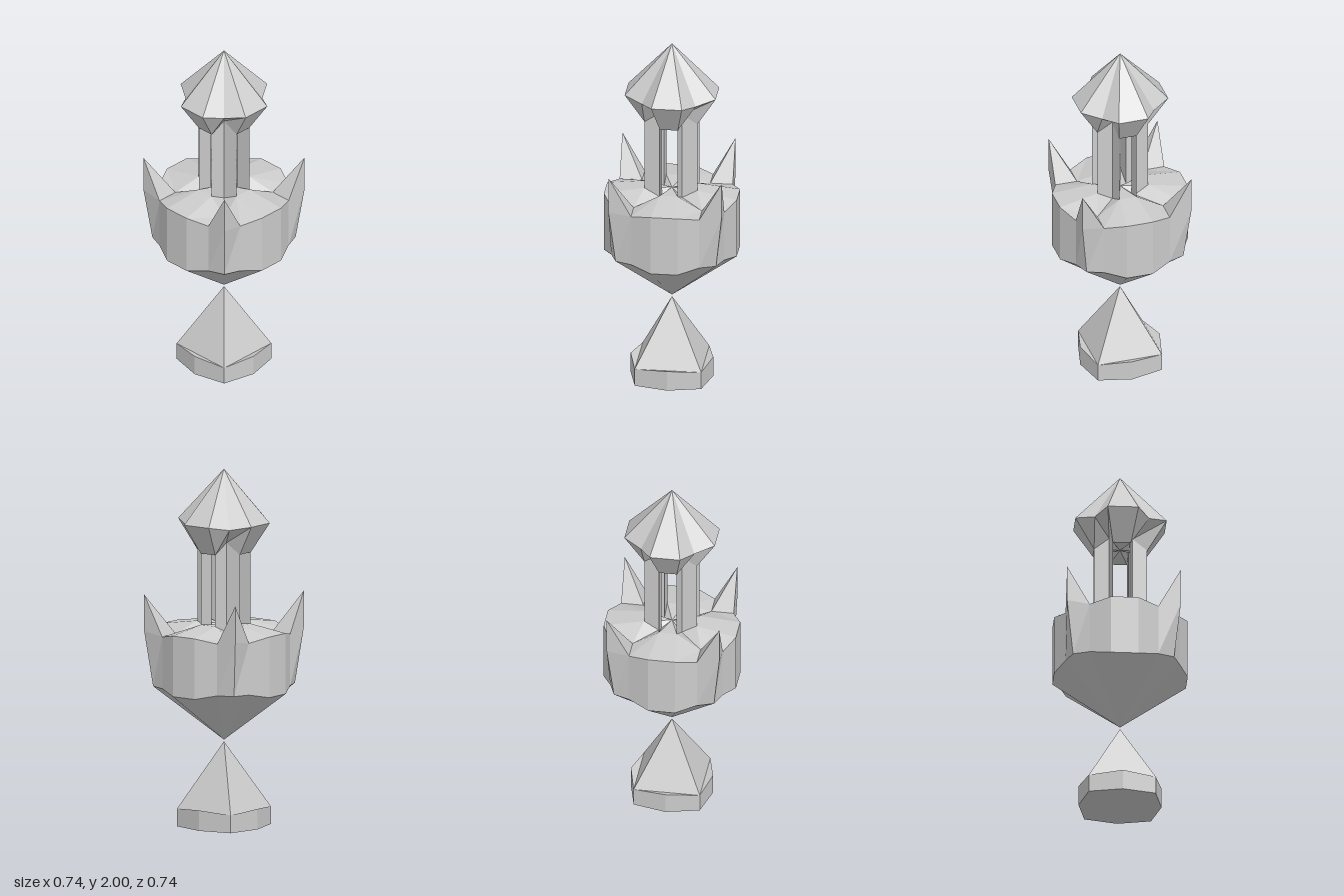
import * as THREE from 'three';

const material = new THREE.MeshStandardMaterial({ color: 0xcccccc, flatShading: true, side: THREE.DoubleSide });

// Repeats the [x, y, z] points of one quadrant four times around the y axis
function ring(points) {
  const out = [];
  for (let q = 0; q < 4; q++) {
    for (const [x, y, z] of points) {
      const [rx, rz] = [[x, z], [z, -x], [-x, -z], [-z, x]][q];
      out.push(new THREE.Vector3(rx, y, rz));
    }
  }
  return out;
}

// Skins a stack of rings from bottom to top, skipping collapsed triangles
function loft(name, quadrants) {
  const rings = quadrants.map(ring);
  const positions = [];
  const tri = (a, b, c) => {
    if (new THREE.Triangle(a, b, c).getArea() > 1e-7) {
      for (const p of [a, b, c]) positions.push(p.x, p.y, p.z);
    }
  };
  for (let r = 0; r < rings.length - 1; r++) {
    const lo = rings[r], hi = rings[r + 1], n = lo.length;
    for (let i = 0; i < n; i++) {
      const j = (i + 1) % n;
      tri(lo[i], lo[j], hi[j]);
      tri(lo[i], hi[j], hi[i]);
    }
  }
  const geometry = new THREE.BufferGeometry();
  geometry.setAttribute('position', new THREE.Float32BufferAttribute(positions, 3));
  geometry.computeVertexNormals();
  const mesh = new THREE.Mesh(geometry, material);
  mesh.name = name;
  return mesh;
}

// A ring collapsed to one point on the axis
const tip = (y, count) => Array(count).fill([0, y, 0]);

export function createModel() {
  const model = new THREE.Group();
  model.name = 'floatingTower';

  // Octagonal plinth under a four-sided pyramid
  model.add(loft('basePyramid', [
    tip(0, 2),
    [[0, 0, 0.23], [0.185, 0, 0.185]],
    [[0, 0.115, 0.23], [0.185, 0.1, 0.185]],
    [[0, 0.1, 0.185], [0.185, 0.1, 0.185]],
    tip(0.47, 2),
  ]));

  // Hanging cone, walls with corner spikes, sloping roof with corner valleys
  const valley = [0.19, 1.08, 0.19], pocket = [0.065, 1.1, 0.065];
  const wallTop = (cornerY) => [
    [0.075, 1.105, 0.37], [0.19, 1.08, 0.315], [0.315, cornerY, 0.315],
    [0.315, 1.08, 0.19], [0.37, 1.105, 0.075],
  ];
  const roofTop = (corner) => [[0.05, 1.14, 0.147], corner, corner, corner, [0.147, 1.14, 0.05]];
  model.add(loft('spikedBody', [
    tip(0.48, 5),
    [[0.075, 0.765, 0.37], [0.19, 0.79, 0.315], [0.28, 0.79, 0.28],
      [0.315, 0.79, 0.19], [0.37, 0.765, 0.075]],
    wallTop(1.1),
    wallTop(1.305),
    roofTop(valley),
    roofTop(pocket),
    tip(1.13, 5),
  ]));

  // Four thin angled columns
  const section = new THREE.Shape([[0.05, -0.05], [0.147, -0.05], [0.065, -0.065], [0.05, -0.147]]
    .map(([x, y]) => new THREE.Vector2(x, y)));
  const columnGeometry = new THREE.ExtrudeGeometry(section, { depth: 0.5, bevelEnabled: false });
  columnGeometry.rotateX(-Math.PI / 2).translate(0, 1.1, 0);
  const columns = new THREE.Group();
  columns.name = 'columns';
  for (let i = 0; i < 4; i++) {
    const column = new THREE.Mesh(columnGeometry, material);
    column.name = 'column';
    column.rotation.y = i * Math.PI / 2;
    columns.add(column);
  }
  model.add(columns);

  // Flared spire with notched corners
  model.add(loft('spire', [
    tip(1.56, 3),
    [[0.05, 1.54, 0.147], [0.065, 1.6, 0.065], [0.147, 1.54, 0.05]],
    [[0.085, 1.71, 0.253], [0.15, 1.69, 0.15], [0.253, 1.71, 0.085]],
    tip(2, 3),
  ]));

  return model;
}
